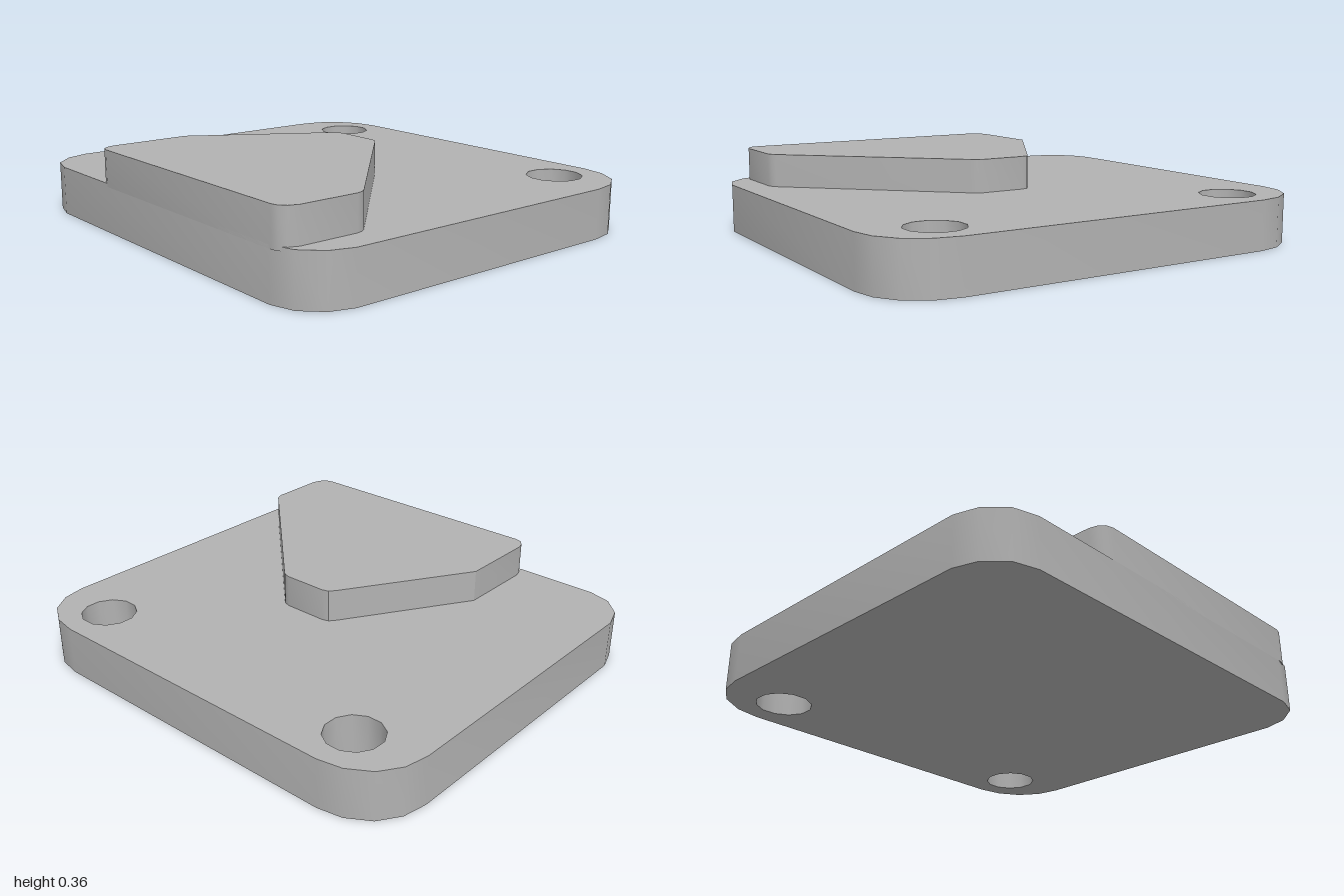
import * as THREE from 'three';
import { toCreasedNormals } from 'three/addons/utils/BufferGeometryUtils.js';

const CREASE = 0.53;

// Extrudes an outline given as [x, z] points upward from y0 to y1
function slab(name, outline, y0, y1, material, holes = []) {
  const shape = new THREE.Shape(outline.map(([x, z]) => new THREE.Vector2(x, -z)));
  for (const [x, z, r] of holes) {
    const points = [];
    for (let i = 0; i < 12; i++) {
      const a = -(i + 0.5) / 12 * Math.PI * 2;
      points.push(new THREE.Vector2(x + r * Math.cos(a), -z + r * Math.sin(a)));
    }
    shape.holes.push(new THREE.Path(points));
  }
  const geometry = new THREE.ExtrudeGeometry(shape, { depth: y1 - y0, bevelEnabled: false });
  geometry.rotateX(-Math.PI / 2);
  geometry.translate(0, y0, 0);
  const mesh = new THREE.Mesh(toCreasedNormals(geometry, CREASE), material);
  mesh.name = name;
  return mesh;
}

export function createModel() {
  const group = new THREE.Group();
  group.name = 'mountingPlate';
  const grey = new THREE.MeshStandardMaterial({ color: 0xb2b2b2 });
  grey.name = 'light grey';

  // Base plate: right half of the outline from front to back, mirrored to the left
  const half = [
    [0.785, 0.9], [0.89, 0.87], [0.968, 0.79], [1, 0.69],
    [1, -0.625], [0.98, -0.73], [0.92, -0.82], [0.823, -0.88], [0.715, -0.9],
  ];
  const mirrored = half.map(([x, z]) => [-x, z]).reverse();
  const holes = [-1, 1].map((s) => [s * 0.713, -0.69, 0.121]);
  group.add(slab('basePlate', [...half, ...mirrored], 0, 0.215, grey, holes));

  // Raised wedge-shaped pad, flush with the front edge
  const pad = [
    [-0.37, 0.9], [0.8, 0.9], [0.83, 0.893], [0.855, 0.87], [0.87, 0.83],
    [0.87, 0.575], [0.863, 0.55], [0.85, 0.53],
    [0.21, -0.09], [0.19, -0.108], [0.16, -0.117],
    [-0.04, -0.117], [-0.07, -0.108], [-0.092, -0.08],
    [-0.432, 0.475], [-0.432, 0.83], [-0.422, 0.865], [-0.402, 0.89],
  ];
  group.add(slab('raisedPad', pad, 0.2, 0.36, grey));
  return group;
}
